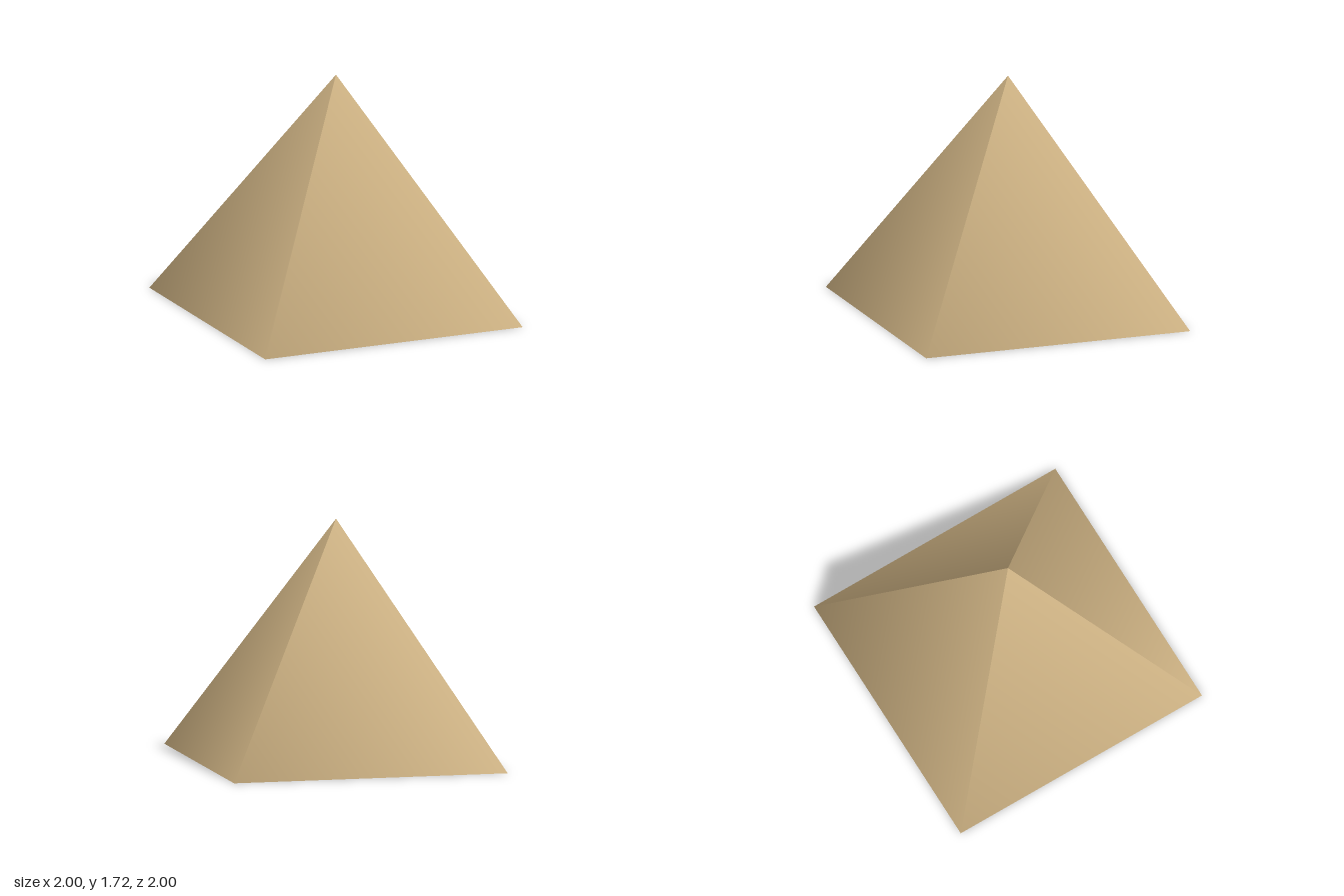
import * as THREE from 'three';

export function createModel() {
  const group = new THREE.Group();
  const height = 1.717;

  // Four-sided cone with a closed base, turned so its faces look along x and z
  const geometry = new THREE.ConeGeometry(Math.SQRT2, height, 4);
  geometry.rotateY(Math.PI / 4);
  geometry.translate(0, height / 2, 0);

  const pyramid = new THREE.Mesh(geometry, new THREE.MeshStandardMaterial({ color: 0xc8ad7f }));
  pyramid.name = 'pyramid';
  group.add(pyramid);
  return group;
}
